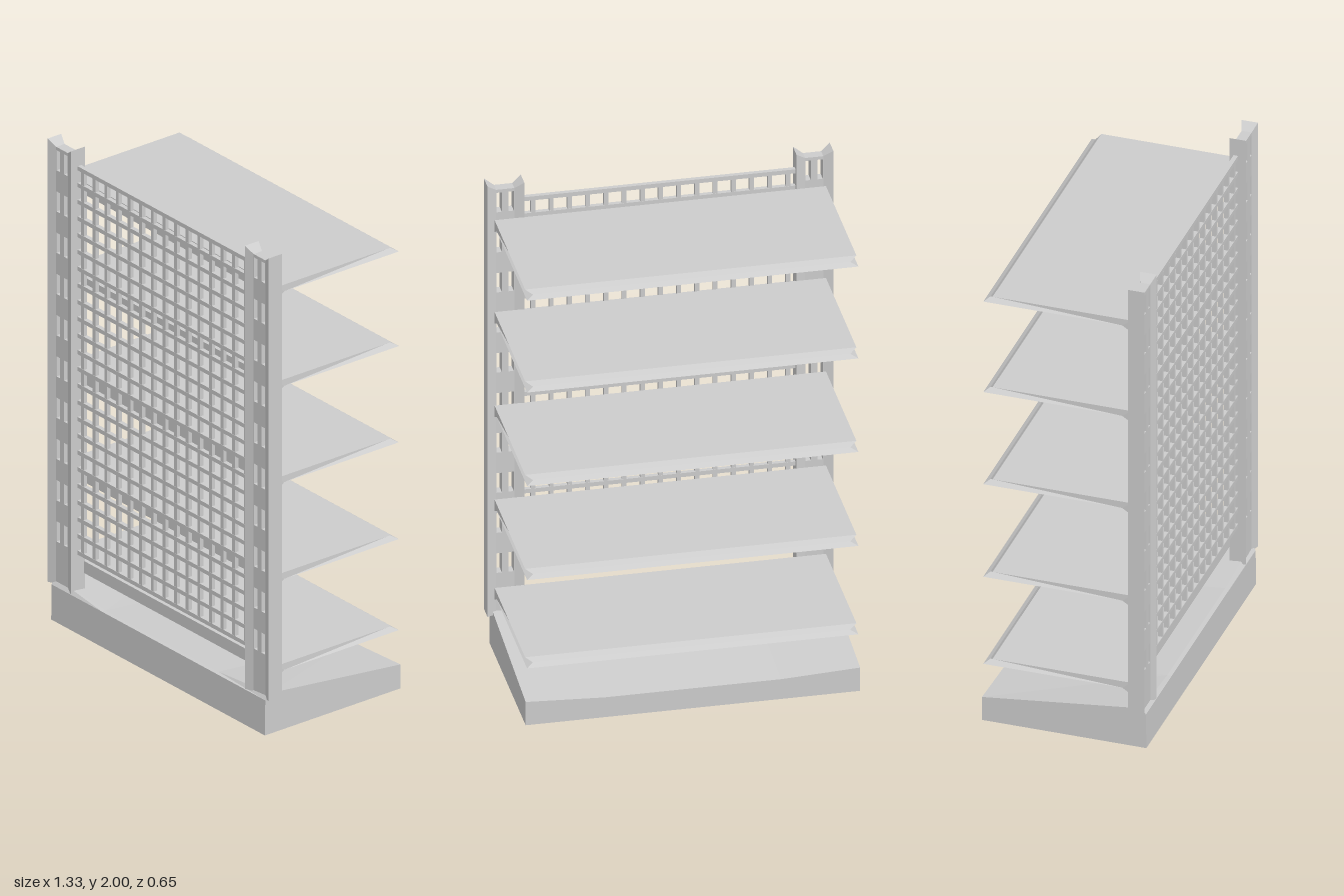
import * as THREE from 'three';

const mat = new THREE.MeshStandardMaterial({ color: 0xcccccc, flatShading: true });

function add(parent, geo, name, x = 0, y = 0, z = 0) {
  const m = new THREE.Mesh(geo, mat);
  m.name = name;
  m.position.set(x, y, z);
  parent.add(m);
  return m;
}

// Side profile given as [z, y] points, extruded across x and centred
function extrudeAcross(points, width) {
  const shape = new THREE.Shape(points.map(([z, y]) => new THREE.Vector2(-z, y)));
  const g = new THREE.ExtrudeGeometry(shape, { depth: width, bevelEnabled: false });
  return g.rotateY(Math.PI / 2).translate(-width / 2, 0, 0);
}

// Shelf: flat body, raised back bracket, sloping lip with pinched ends (top at y = 0)
function shelfGeometry() {
  const fold = [-0.302, -0.016];
  const g = extrudeAcross([
    [0.265, 0], [-0.285, 0], fold, [-0.322, -0.028], [0.23, -0.028], [0.265, -0.05],
  ], 1.274);
  const p = g.attributes.position;
  for (let i = 0; i < p.count; i++) {
    if (Math.abs(p.getZ(i) - fold[0]) < 1e-4) p.setX(i, Math.sign(p.getX(i)) * 0.61);
  }
  g.computeVertexNormals();
  return g;
}

// Plinth: cross-sections lofted along x, with the top sagging in the middle
function baseGeometry() {
  const section = (x, ridge, front) => [
    [x, 0, -0.325], [x, 0, 0.328], [x, 0.146, 0.326], [x, ridge, 0.308], [x, front, -0.325],
  ];
  const rings = [
    section(-0.643, 0.17, 0.1), section(-0.34, 0.146, 0.085),
    section(0.34, 0.146, 0.085), section(0.643, 0.17, 0.1),
  ];
  const n = 5, idx = [];
  for (let s = 0; s < rings.length - 1; s++) {
    for (let k = 0; k < n; k++) {
      const a = s * n + k, b = s * n + (k + 1) % n;
      idx.push(a, a + n, b, a + n, b + n, b);
    }
  }
  const e = (rings.length - 1) * n;
  for (let k = 1; k < n - 1; k++) idx.push(0, k, k + 1, e, e + k + 1, e + k);
  const g = new THREE.BufferGeometry();
  g.setAttribute('position', new THREE.Float32BufferAttribute(rings.flat(2), 3));
  g.setIndex(idx);
  const flat = g.toNonIndexed();
  flat.computeVertexNormals();
  return flat;
}

const BOTTOM = 0.15, WEB_TOP = 1.975, TOP = 2;

// Slotted web of an upright
function webGeometry() {
  const w = 0.036, d = 0.04;
  const rect = (path, x0, y0, x1, y1) =>
    path.moveTo(x0, y0).lineTo(x1, y0).lineTo(x1, y1).lineTo(x0, y1).closePath();
  const shape = new THREE.Shape();
  rect(shape, -w, BOTTOM, w, WEB_TOP);
  for (let i = 0; i < 10; i++) {
    const y = 1.92 - i * 0.1722;
    for (const x of [-0.023, 0.023]) {
      const hole = new THREE.Path();
      rect(hole, x - 0.01, y - 0.042, x + 0.01, y + 0.042);
      shape.holes.push(hole);
    }
  }
  return new THREE.ExtrudeGeometry(shape, { depth: d, bevelEnabled: false }).translate(0, 0, -d / 2);
}

// Flange that flares outward from the web, its top rising to the outer edge
function flangeGeometry() {
  const g = new THREE.BoxGeometry(0.036, TOP - BOTTOM, 0.066).translate(0.053, (TOP + BOTTOM) / 2, 0);
  const p = g.attributes.position;
  for (let i = 0; i < p.count; i++) {
    if (p.getX(i) > 0.05) continue;
    p.setZ(i, Math.sign(p.getZ(i)) * 0.02);
    if (p.getY(i) > 1) p.setY(i, WEB_TOP);
  }
  g.computeVertexNormals();
  return g;
}

export function createModel() {
  const model = new THREE.Group();
  model.name = 'shelvingUnit';

  add(model, baseGeometry(), 'base');

  // Uprights
  const web = webGeometry(), flange = flangeGeometry();
  for (const side of [-1, 1]) {
    const post = new THREE.Group();
    post.name = side > 0 ? 'leftUpright' : 'rightUpright';
    post.position.set(side * 0.594, 0, 0.295);
    add(post, web, 'slottedWeb');
    add(post, flange, 'flange');
    add(post, flange, 'flange').rotation.y = Math.PI;
    model.add(post);
  }

  // Wire grid panel
  const grid = new THREE.Group();
  grid.name = 'gridPanel';
  const y0 = 0.315, y1 = 1.92;
  const upright = new THREE.BoxGeometry(0.017, y1 - y0, 0.016);
  const cross = new THREE.BoxGeometry(1.09, 0.017, 0.018);
  for (let i = 0; i < 15; i++) add(grid, upright, 'verticalBar', -0.495 + i * 0.07, (y0 + y1) / 2, 0.288);
  for (let i = 0; i < 24; i++) add(grid, cross, 'horizontalBar', 0, y0 + (i * (y1 - y0)) / 23, 0.288);
  model.add(grid);

  // Shelves
  const shelf = shelfGeometry();
  for (const y of [0.27, 0.65, 1.054, 1.456, 1.851]) add(model, shelf, 'shelf', 0, y, 0);

  return model;
}
